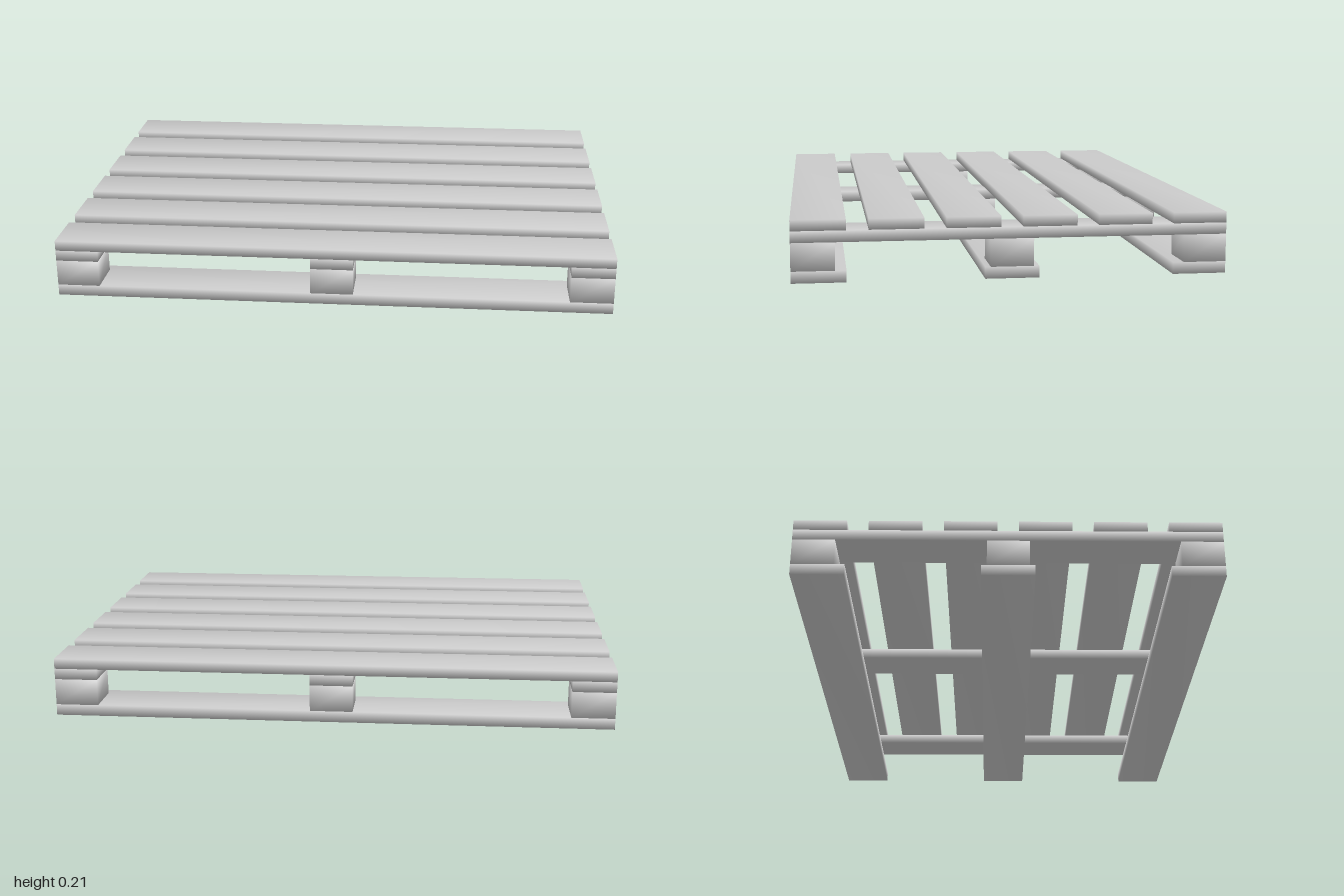
import * as THREE from 'three';
import { mergeVertices } from 'three/addons/utils/BufferGeometryUtils.js';

const material = new THREE.MeshStandardMaterial({ color: 0xcccccc });

// Box with welded corners, so that shading runs smoothly around its edges
function softBox(w, h, d) {
  const box = new THREE.BoxGeometry(w, h, d);
  box.deleteAttribute('normal');
  box.deleteAttribute('uv');
  const welded = mergeVertices(box);
  welded.computeVertexNormals();
  return welded;
}

export function createModel() {
  const pallet = new THREE.Group();
  pallet.name = 'pallet';

  const length = 2, depth = 1.47;
  const boardWidth = 0.183, stringerWidth = 0.153, blockDepth = 0.146;
  // Heights of the layers, from the ground up
  const [y0, y1, y2, y3, y4] = [0, 0.04, 0.135, 0.174, 0.211];

  function add(name, w, d, bottom, top, x, z) {
    const mesh = new THREE.Mesh(softBox(w, top - bottom, d), material);
    mesh.name = name;
    mesh.position.set(x, (bottom + top) / 2, z);
    pallet.add(mesh);
  }

  for (const row of [-1, 0, 1]) {
    // Bottom boards run the full length
    add('bottomBoard', length, boardWidth, y0, y1, 0, row * (depth - boardWidth) / 2);

    // Stringers cross the blocks from front to back
    const x = row * (length - stringerWidth) / 2;
    add('stringer', stringerWidth, depth, y2, y3, x, 0);

    // Spacer blocks, flush with the outer edges
    for (const column of [-1, 0, 1]) {
      add('block', stringerWidth, blockDepth, y1, y2, x, column * (depth - blockDepth) / 2);
    }
  }

  // Six evenly spaced deck boards
  const count = 6, pitch = (depth - boardWidth) / (count - 1);
  for (let i = 0; i < count; i++) {
    add('deckBoard', length, boardWidth, y3, y4, 0, (i - (count - 1) / 2) * pitch);
  }

  return pallet;
}
